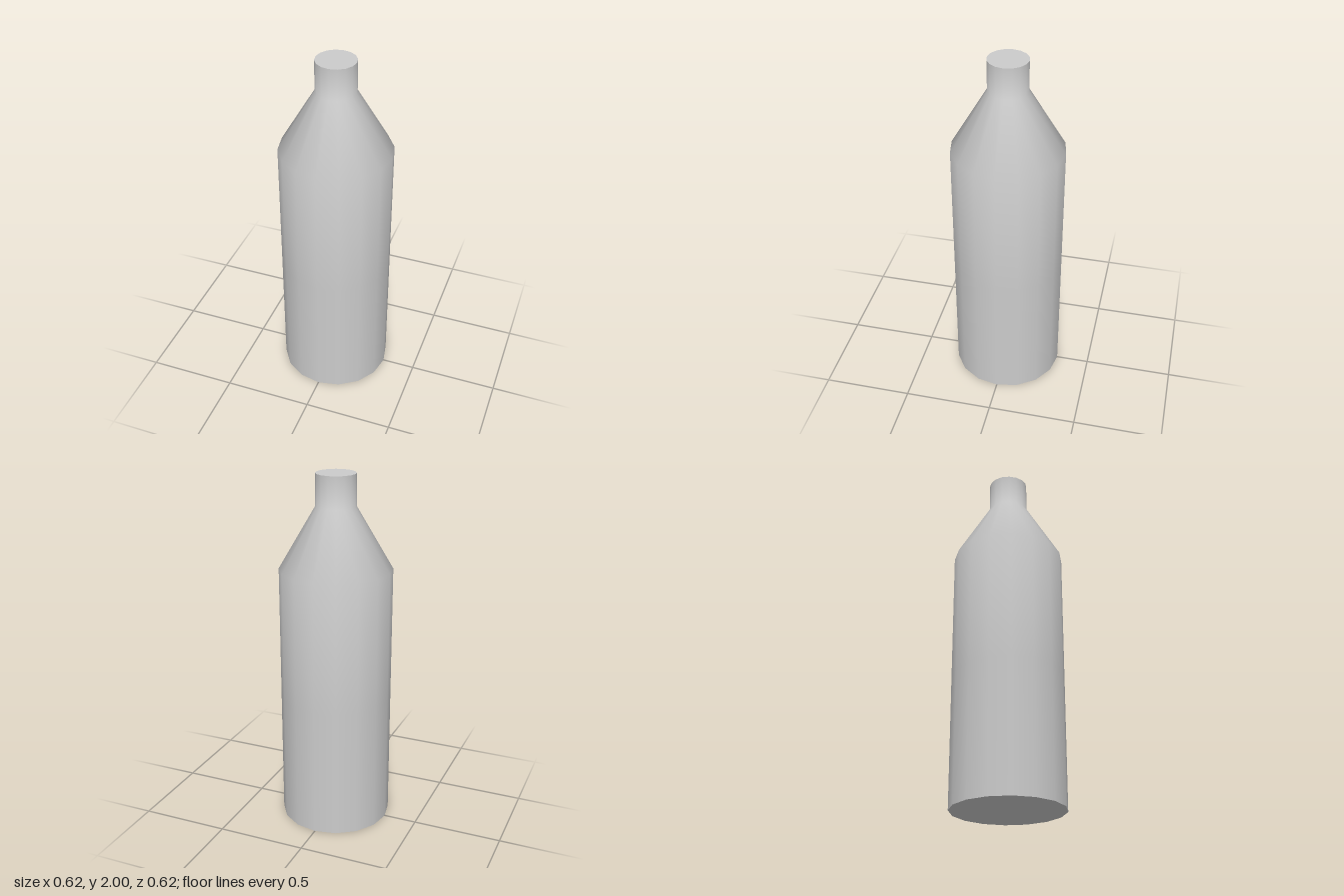
import * as THREE from 'three';

const SIDES = 16;
const BODY_R = 0.312;
const NECK_R = 0.11;
const HEIGHT = 2;

export function createModel() {
  const group = new THREE.Group();
  group.name = 'bottle';
  const material = new THREE.MeshStandardMaterial({ color: 0xcccccc });

  const add = (name, geometry) => {
    const mesh = new THREE.Mesh(geometry, material);
    mesh.name = name;
    group.add(mesh);
    return mesh;
  };

  // Smooth wall: body, sloping shoulder and straight neck
  const profile = [
    [BODY_R, 0], [BODY_R, 0.74], [BODY_R, 1.48], [NECK_R, 1.825], [NECK_R, HEIGHT],
  ].map(([r, y]) => new THREE.Vector2(r, y));
  add('bottleWall', new THREE.LatheGeometry(profile, SIDES));

  // Flat base and closed mouth, with sharp rims
  add('base', new THREE.CircleGeometry(BODY_R, SIDES).rotateX(Math.PI / 2));
  add('mouthCap', new THREE.CircleGeometry(NECK_R, SIDES).rotateX(-Math.PI / 2)).position.y = HEIGHT;

  return group;
}
